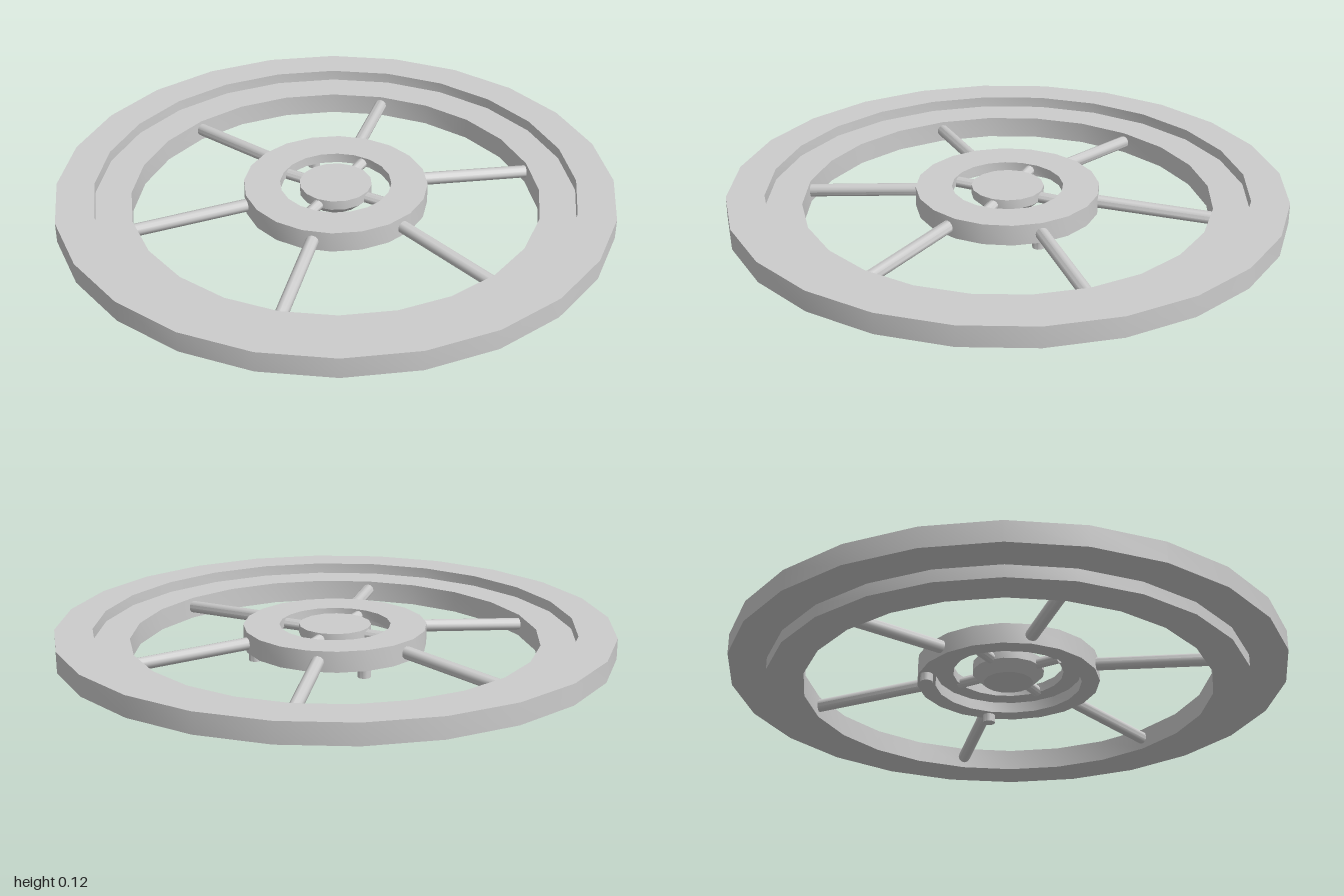
import * as THREE from 'three';
import { toCreasedNormals } from 'three/addons/utils/BufferGeometryUtils.js';

const material = new THREE.MeshStandardMaterial({ color: 0xcccccc });

function add(group, name, geometry) {
  const mesh = new THREE.Mesh(toCreasedNormals(geometry, 0.6), material);
  mesh.name = name;
  group.add(mesh);
  return mesh;
}

// Turned part from a [radius, height] profile, listed bottom, outside, top, inside
function turned(group, name, profile, sides) {
  const points = profile.map(([r, y]) => new THREE.Vector2(r, y));
  return add(group, name, new THREE.LatheGeometry(points, sides));
}

// Round bar between two points
function bar(group, name, from, to, radius) {
  const dir = to.clone().sub(from);
  const mesh = add(group, name, new THREE.CylinderGeometry(radius, radius, dir.length(), 12));
  mesh.position.copy(from).add(to).multiplyScalar(0.5);
  mesh.quaternion.setFromUnitVectors(new THREE.Vector3(0, 1, 0), dir.normalize());
  return mesh;
}

const polar = (r, y, a) => new THREE.Vector3(r * Math.cos(a), y, r * Math.sin(a));

export function createModel() {
  const wheel = new THREE.Group();
  wheel.name = 'wheel';

  // Stepped rim: wide upper band and lower inner band
  turned(wheel, 'rim', [
    [0.735, 0], [0.865, 0], [0.865, 0.045], [1, 0.045], [1, 0.12],
    [0.865, 0.12], [0.865, 0.08], [0.735, 0.08], [0.735, 0],
  ], 24);

  // Hub ring, recessed underneath
  turned(wheel, 'hubRing', [
    [0.265, 0.045], [0.33, 0.045], [0.33, 0.12], [0.2, 0.12],
    [0.2, 0.085], [0.265, 0.085], [0.265, 0.045],
  ], 20);

  // Centre cap, tapered underneath
  turned(wheel, 'centreCap', [
    [0, 0.048], [0.09, 0.048], [0.13, 0.085], [0.13, 0.12], [0, 0.12],
  ], 16);

  // Six spokes sloping down from hub to rim
  for (let i = 0; i < 6; i++) {
    const a = i * Math.PI / 3;
    bar(wheel, 'spoke', polar(0.28, 0.083, a), polar(0.75, 0.043, a), 0.023);
  }

  // Four short struts holding the centre cap
  for (let i = 0; i < 4; i++) {
    const a = Math.PI / 4 + i * Math.PI / 2;
    bar(wheel, 'strut', polar(0.1, 0.095, a), polar(0.21, 0.095, a), 0.02);
  }

  // Two studs under the hub ring
  for (const a of [0, -Math.PI / 2]) {
    bar(wheel, 'stud', polar(0.3, 0.015, a), polar(0.3, 0.06, a), 0.023);
  }

  return wheel;
}
